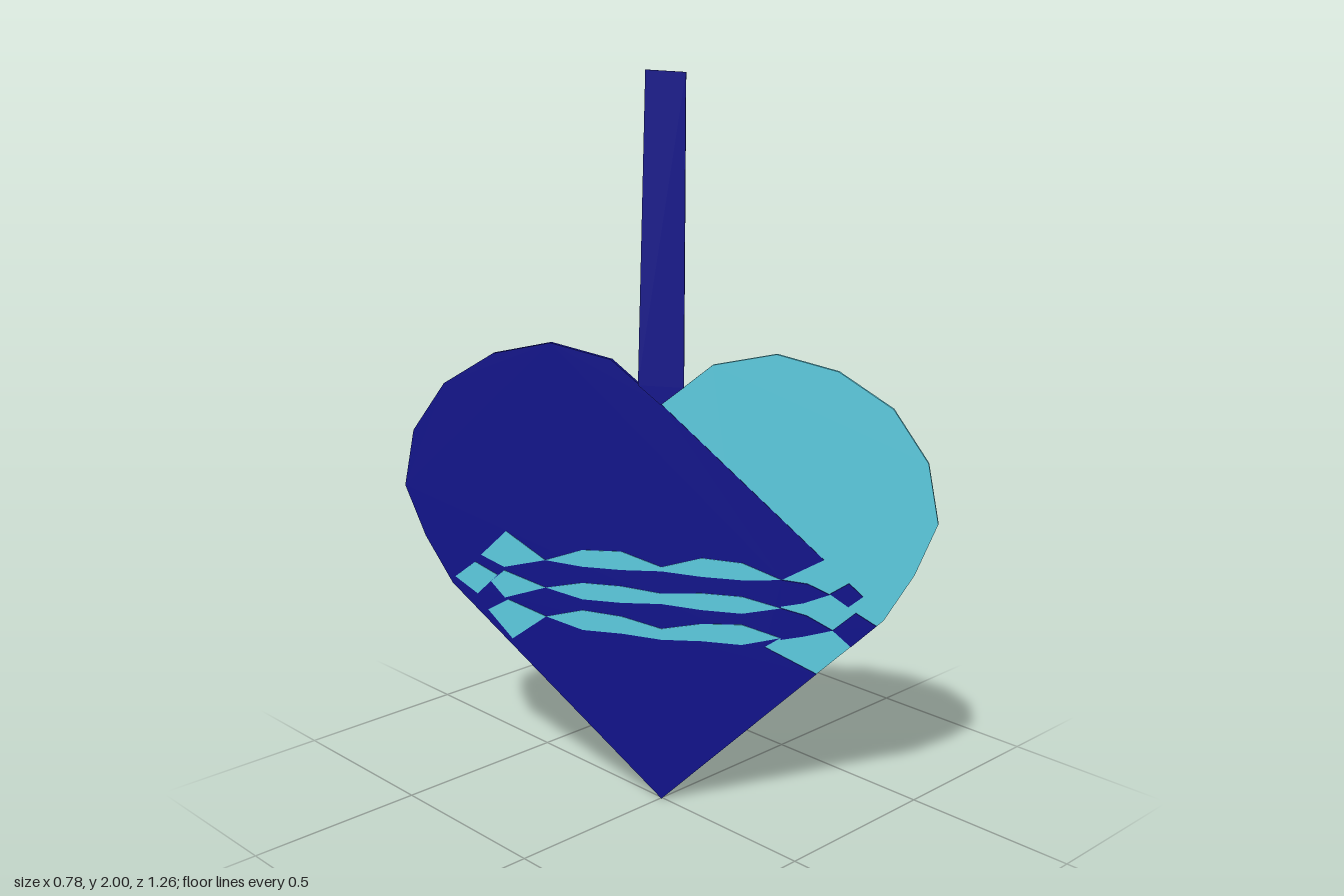
import * as THREE from 'three';

const navy = new THREE.MeshStandardMaterial({ color: 0x10128a });
const teal = new THREE.MeshStandardMaterial({ color: 0x5ccbdf });

// Flat sheet cut from an outline given in hundredths of a unit, centred on its own plane
function sheet(name, points, half, material) {
  const shape = new THREE.Shape(points.map(([x, y]) => new THREE.Vector2(x / 100, y / 100)));
  const geometry = new THREE.ExtrudeGeometry(shape, { depth: 2 * half, bevelEnabled: false });
  geometry.translate(0, 0, -half);
  const mesh = new THREE.Mesh(geometry, material);
  mesh.name = name;
  return mesh;
}

const mirror = (points) => points.map(([x, y]) => [-x, y]);

export function createModel() {
  const model = new THREE.Group();
  model.name = 'wovenHeartOrnament';
  const heart = new THREE.Group();
  heart.name = 'heart';
  heart.rotation.y = -1.016;
  model.add(heart);

  // One lobe, from beside the notch round to the lower flank
  const lobe = [[13.7, 125.3], [30.5, 129], [46.7, 125.3], [61, 116.3], [70.4, 102.6],
    [73.5, 86.6], [68, 72.3], [60.4, 59]];
  const notch = [0, 114];

  // Two overlapping paper halves
  heart.add(sheet('tealHalf', [notch, ...lobe, [43, 42.1], [20, 48], [20, 80]], 0.005, teal));
  heart.add(sheet('navyHalf', [notch, ...mirror(lobe), [0, 0], [43, 42.1], [28.7, 48.5],
    [33, 51.5], [33, 68], [44.2, 74.5]], 0.0065, navy));

  // Wavy teal strips across the middle, pinched at the weave crossings
  const rows = [
    { top: [68, 71.8, 72.3, 68.8], bottom: [68, 67, 67, 67.6] },
    { top: [60, 62.3, 62.3, 61.2], bottom: [60, 57.5, 57.5, 58.2] },
    { top: [51.5, 54.3, 53.5, 51], bottom: [51.5, 48.5, 48.5, 47.8] },
  ];
  const stations = [33, 22.4, 11.2, 0];
  const across = (ys) => [
    ...stations.map((x, i) => [x, ys[i]]),
    ...stations.slice(0, 3).map((x, i) => [-x, ys[i]]).reverse(),
  ];
  rows.forEach((row) => heart.add(
    sheet('tealStrip', [...across(row.top), ...across(row.bottom).slice(1, -1).reverse()], 0.008, teal)));

  // Teal cells woven through the navy half
  [
    [[-33, 68], [-44.2, 75.5], [-51.7, 68], [-45, 65]],
    [[-33, 60], [-45, 64], [-49, 60.5], [-45, 56]],
    [[-33, 51.5], [-44, 55.5], [-50, 52], [-43, 44]],
    [[-47, 62.5], [-53.5, 65.8], [-59.5, 61], [-53, 56.5]],
  ].forEach((cell) => heart.add(sheet('tealCell', cell, 0.008, teal)));

  // Navy cells woven through the teal half
  [
    [[33, 68], [40, 67.5], [46, 65], [39, 62], [33, 60.5]],
    [[33, 60], [40, 58.5], [47, 55], [39, 52.5], [33, 51]],
    [[54.8, 65.2], [51, 68.6], [46, 65.2], [51, 62]],
    [[58.6, 57.3], [53, 60.5], [47, 55], [52, 50.8]],
  ].forEach((cell) => heart.add(sheet('navyCell', cell, 0.008, navy)));

  // Hanging strap rising from the notch, leaning slightly
  const strap = sheet('strap', [[-6.2, 119], [0, 114], [6.2, 119], [6.2, 199.5], [-4.3, 200]], 0.002, navy);
  const p = strap.geometry.attributes.position;
  for (let i = 0; i < p.count; i++) {
    p.setZ(i, p.getZ(i) + 0.012 * (2 - p.getY(i)) / 0.86);
  }
  strap.geometry.computeVertexNormals();
  heart.add(strap);

  return model;
}
